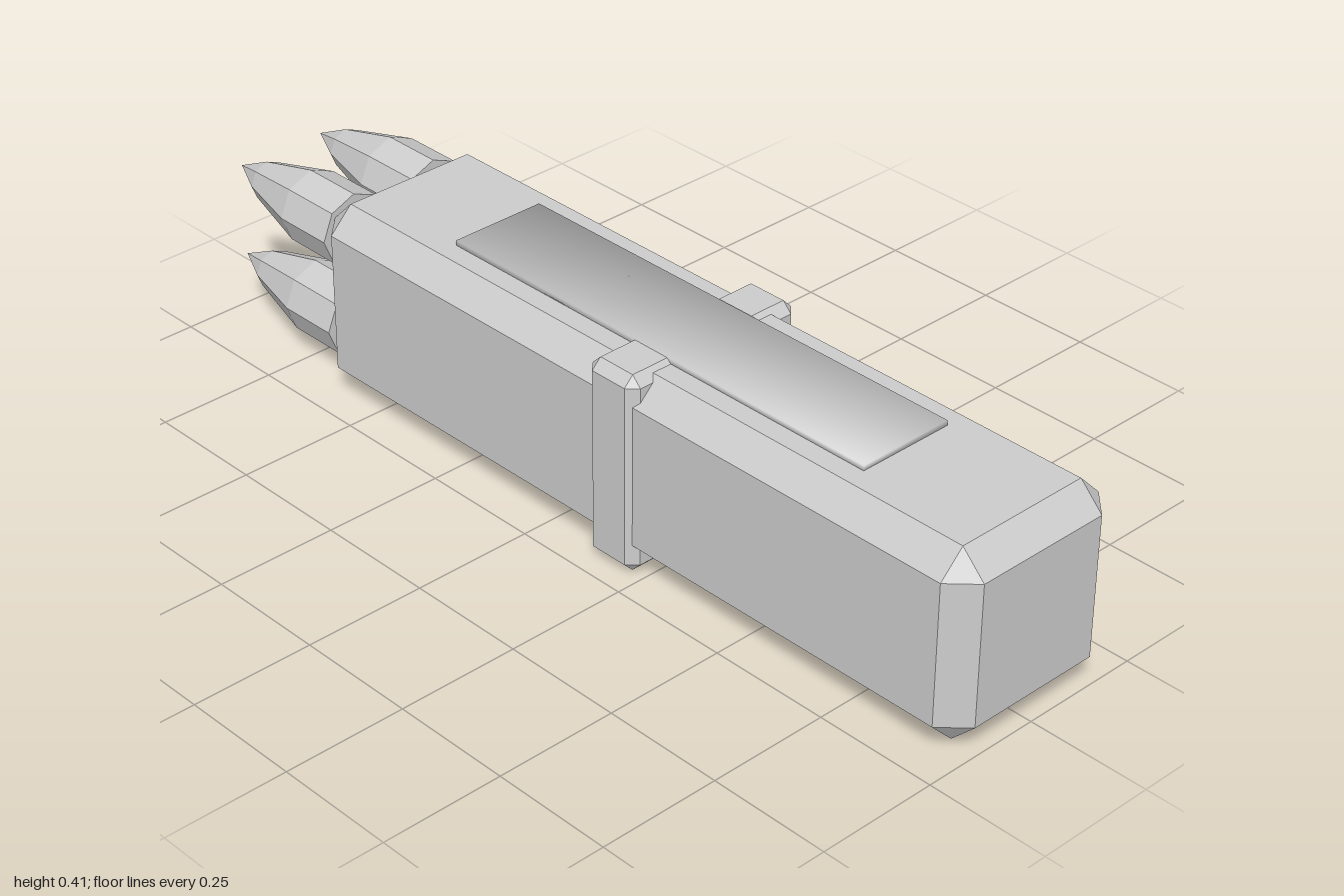
import * as THREE from 'three';
import { ConvexGeometry } from 'three/addons/geometries/ConvexGeometry.js';

// Box with every edge cut by a flat chamfer c; flat normals.
function chamferBox(w, h, d, c) {
  const half = [w / 2, h / 2, d / 2];
  const points = [];
  for (const sx of [-1, 1]) for (const sy of [-1, 1]) for (const sz of [-1, 1]) {
    for (let full = 0; full < 3; full++) {
      const p = half.map((s, i) => (i === full ? s : s - c));
      points.push(new THREE.Vector3(sx * p[0], sy * p[1], sz * p[2]));
    }
  }
  return new ConvexGeometry(points);
}

// Thin box whose corner normals are blended over its faces.
function softBox(w, h, d) {
  const geo = new THREE.BoxGeometry(w, h, d);
  const pos = geo.attributes.position;
  const n = new THREE.Vector3();
  for (let i = 0; i < pos.count; i++) {
    n.set(Math.sign(pos.getX(i)), Math.sign(pos.getY(i)), Math.sign(pos.getZ(i))).normalize();
    geo.attributes.normal.setXYZ(i, n.x, n.y, n.z);
  }
  return geo;
}

export function createModel() {
  const model = new THREE.Group();
  model.name = 'missilePod';
  const grey = new THREE.MeshStandardMaterial({ color: 0xcccccc });
  grey.name = 'grey';

  function add(name, geo, x, y, z) {
    const mesh = new THREE.Mesh(geo, grey);
    mesh.name = name;
    mesh.position.set(x, y, z);
    model.add(mesh);
  }

  // Long housing, the band around it and the plate on top
  add('housing', chamferBox(0.39, 0.39, 1.65, 0.05), 0, 0.207, 0.175);
  add('band', chamferBox(0.41, 0.411, 0.122, 0.02), 0, 0.2055, 0.176);
  add('topPlate', softBox(0.205, 0.012, 1.035), 0, 0.4065, 0.172);

  // Eight-sided pointed missiles at the back
  const profile = [[0, 0], [0.077, 0], [0.077, 0.13], [0.04, 0.27], [0, 0.352]]
    .map(([r, l]) => new THREE.Vector2(r, l));
  let missile = new THREE.LatheGeometry(profile, 8).rotateX(-Math.PI / 2).toNonIndexed();
  missile.computeVertexNormals();
  for (const x of [-0.099, 0.099]) {
    for (const y of [0.11, 0.31]) {
      add(`${y > 0.2 ? 'upper' : 'lower'}${x > 0 ? 'Left' : 'Right'}Missile`, missile, x, y, -0.648);
    }
  }
  return model;
}
